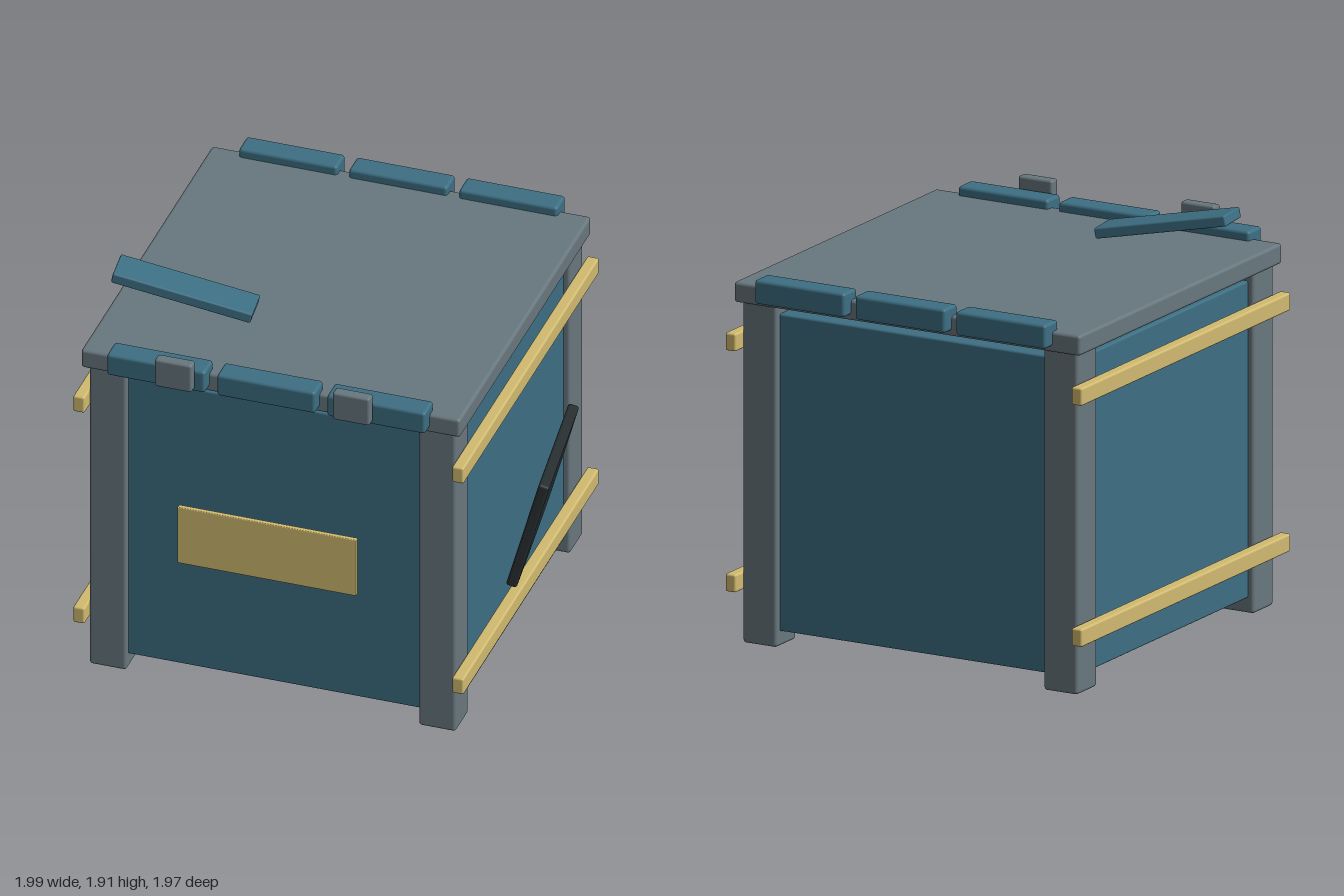
import * as THREE from 'three';
import { RoundedBoxGeometry } from 'three/addons/geometries/RoundedBoxGeometry.js';

const grey = new THREE.MeshStandardMaterial({ color: 0x68777e });
const blue = new THREE.MeshStandardMaterial({ color: 0x3d6f83 });
const yellow = new THREE.MeshStandardMaterial({ color: 0xd1ba70 });
const dark = new THREE.MeshStandardMaterial({ color: 0x262d2f });

// Softly bevelled block given by its size and centre
function block(name, material, size, centre, bevel = 0.012) {
  const mesh = new THREE.Mesh(new RoundedBoxGeometry(...size, 2, bevel), material);
  mesh.name = name;
  mesh.position.set(...centre);
  return mesh;
}

export function createModel() {
  const model = new THREE.Group();
  model.name = 'crate';

  // The crate sits slightly off centre because of the loose pieces
  const crate = new THREE.Group();
  crate.name = 'crateBody';
  crate.position.set(-0.075, 0, -0.025);
  model.add(crate);

  // Main box and overhanging lid
  crate.add(block('box', blue, [1.67, 1.47, 1.67], [0, 0.805, 0], 0.01));
  crate.add(block('lid', grey, [1.79, 0.095, 1.79], [0, 1.628, 0], 0.015));

  for (const sx of [-1, 1]) {
    // Corner posts
    for (const sz of [-1, 1]) {
      crate.add(block('cornerPost', grey, [0.175, 1.6, 0.175], [sx * 0.778, 0.8, sz * 0.78], 0.015));
    }
    // Side rails
    for (const y of [0.285, 1.402]) {
      crate.add(block('sideRail', yellow, [0.055, 0.083, 1.85], [sx * 0.895, y, 0], 0.01));
    }
  }

  // Padded blocks along the front and back lid edges
  for (const sz of [-1, 1]) {
    for (const i of [-1, 0, 1]) {
      crate.add(block('lidBlock', blue, [0.465, 0.112, 0.115], [i * 0.52, 1.663, sz * 0.9], 0.015));
    }
  }

  // Front clasps
  for (const sx of [-1, 1]) {
    crate.add(block('clasp', grey, [0.175, 0.143, 0.055], [sx * 0.42, 1.703, 0.983]));
  }

  // Blank plate on the front
  crate.add(block('frontPlate', yellow, [0.845, 0.295, 0.025], [0, 0.823, 0.933], 0.004));

  // Loose slat above the lid
  const slat = block('looseSlat', blue, [0.65, 0.05, 0.172], [-0.62, 1.82, 0.453], 0.008);
  slat.rotation.set(0, 0.115, -0.2, 'YXZ');
  model.add(slat);

  // Tilted panel breaking out of the right-hand wall
  const panel = block('tiltedPanel', dark, [0.05, 0.57, 0.7], [0.849, 0.652, -0.175]);
  panel.rotation.set(0, 0.138, -0.268, 'YXZ');
  model.add(panel);

  return model;
}
